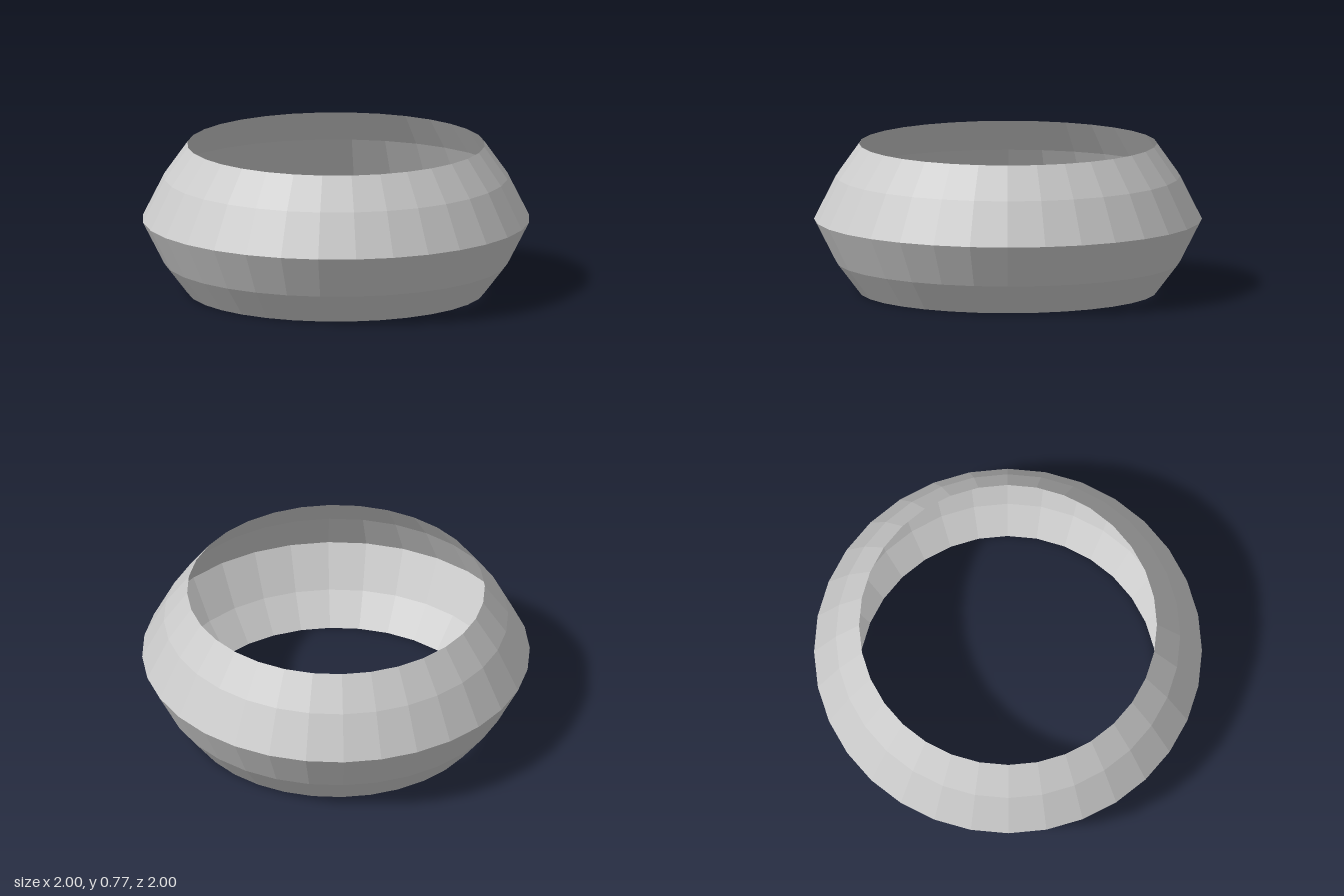
import * as THREE from 'three';

export function createModel() {
  const group = new THREE.Group();
  group.name = 'ring';

  // Thin, open band: faceted profile that bulges to a sharp waist
  const profile = [
    [0.768, 0], [0.888, 0.157], [1, 0.377], [0.888, 0.601], [0.768, 0.77],
  ].map(([r, y]) => new THREE.Vector2(r, y));

  const material = new THREE.MeshStandardMaterial({
    color: 0xcccccc,
    flatShading: true,
    side: THREE.DoubleSide,
  });
  const band = new THREE.Mesh(new THREE.LatheGeometry(profile, 32), material);
  band.name = 'band';
  group.add(band);

  return group;
}
